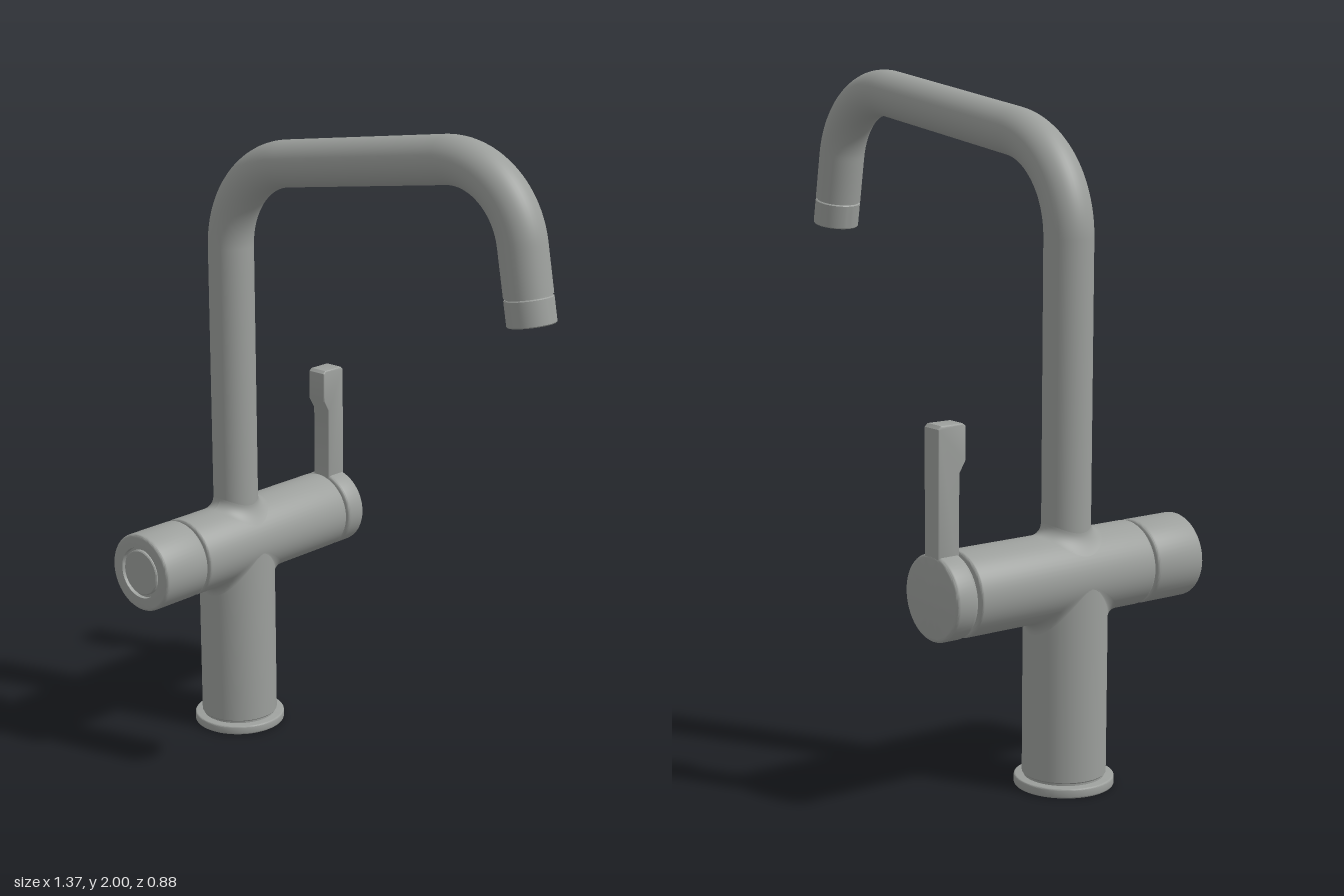
import * as THREE from 'three';
import { toCreasedNormals } from 'three/addons/utils/BufferGeometryUtils.js';

const X = -0.54, Z = 0.027;          // column axis
const BODY_Y = 0.614, BODY_R = 0.122; // cross body axis height and radius
const PIPE_R = 0.07, TILT = THREE.MathUtils.degToRad(10);

export function createModel() {
  const steel = new THREE.MeshStandardMaterial({ color: 0x9c9f9c });
  steel.name = 'brushed steel';
  const faucet = new THREE.Group();
  faucet.name = 'faucet';

  const add = (name, geometry, parent = faucet) => {
    const mesh = new THREE.Mesh(geometry, steel);
    mesh.name = name;
    parent.add(mesh);
    return mesh;
  };
  // Lathe with crisp edges; profile runs from low to high [radius, height]
  const turned = (name, profile, parent) => add(name, toCreasedNormals(
    new THREE.LatheGeometry(profile.map(([r, h]) => new THREE.Vector2(r, h)), 56), 0.55), parent);
  // Solid cylinder profile with rounded rims
  const rounded = (r, low, high, b) => {
    const points = [[0, low]];
    for (const top of [0, 1]) for (let i = 0; i <= 4; i++) {
      const a = (i / 4) * Math.PI / 2;
      points.push(top
        ? [r - b + b * Math.cos(a), high - b + b * Math.sin(a)]
        : [r - b + b * Math.sin(a), low + b - b * Math.cos(a)]);
    }
    points.push([0, high]);
    return points;
  };

  // Base flange and column
  const column = new THREE.Group();
  column.name = 'column';
  column.position.set(X, 0, Z);
  faucet.add(column);
  turned('baseFlange', rounded(0.143, 0, 0.028, 0.005), column);
  turned('baseCollar', [[0.115, 0.02], [0.115, 0.05]], column);
  turned('columnTube', [[0, 0.034], [0.116, 0.034], [0.12, 0.038], [0.12, BODY_Y]], column);

  // Soft blend between an upright tube and the cross body
  const blend = (name, radius, flare, side, alongOnly) => {
    const points = [];
    for (let i = 0; i <= 8; i++) points.push(new THREE.Vector2(1, side * (8 - i) / 8));
    if (side < 0) points.reverse().forEach((p, i) => { p.y = -(8 - i) / 8; });
    const geometry = new THREE.LatheGeometry(points, 56);
    const pos = geometry.attributes.position;
    for (let i = 0; i < pos.count; i++) {
      const a = Math.atan2(pos.getZ(i), pos.getX(i));
      // lathe rows: t = 0 on the body surface, 1 on the tube
      const t = side > 0 ? (i % 9) / 8 : 1 - (i % 9) / 8;
      const w = flare * (alongOnly ? Math.sin(a) ** 2 : 1);
      const turn = t * Math.PI / 2;
      const r = radius + 0.0006 + w * (1 - Math.sin(turn));
      const x = r * Math.cos(a);
      const surface = Math.sqrt(Math.max(0, BODY_R ** 2 - x * x));
      pos.setXYZ(i, x, BODY_Y + side * (surface + w * (1 - Math.cos(turn))), r * Math.sin(a));
    }
    geometry.computeVertexNormals();
    add(name, geometry, column);
  };
  blend('spoutBlend', PIPE_R, 0.03, 1, false);
  blend('columnBlend', 0.12, 0.035, -1, true);

  // Cross body with front knob and rear cap, turned along z
  const cross = new THREE.Group();
  cross.name = 'crossBody';
  cross.position.set(X, BODY_Y, 0);
  cross.rotation.x = Math.PI / 2;
  faucet.add(cross);
  turned('bodyBarrel', rounded(BODY_R, -0.358, 0.26, 0.008), cross);
  turned('rearCollar', [[0.088, -0.375], [0.088, -0.35]], cross);
  turned('frontCollar', [[0.088, 0.255], [0.088, 0.275]], cross);
  turned('rearCap', rounded(BODY_R, -0.44, -0.368, 0.011), cross);
  const knob = rounded(BODY_R, 0.268, 0.44, 0.01);
  knob.pop();
  turned('frontKnob', [...knob, [0.08, 0.44], [0.079, 0.428], [0.071, 0.428], [0.071, 0.436],
    [0.068, 0.439], [0, 0.439]], cross);

  // Lever: side profile in z and y, extruded across x
  const profile = new THREE.Shape();
  [[-0.435, 0.66], [-0.372, 0.66], [-0.372, 0.955], [-0.351, 0.99], [-0.351, 1.08],
    [-0.358, 1.086], [-0.428, 1.086], [-0.435, 1.079]]
    .forEach(([z, y], i) => (i ? profile.lineTo(-z, y) : profile.moveTo(-z, y)));
  const lever = new THREE.ExtrudeGeometry(profile, {
    depth: 0.056, bevelEnabled: true, bevelSize: 0.004, bevelThickness: 0.005, bevelSegments: 3,
  });
  lever.translate(0, 0, -0.028).rotateY(Math.PI / 2);
  add('lever', toCreasedNormals(lever, 0.6)).position.x = X;

  // Spout: riser, bend, rising arm, bend, drop
  const R1 = 0.283, R2 = 0.243, SLOPE = THREE.MathUtils.degToRad(8);
  const armEnd = new THREE.Vector2(0.307, 1.926);
  const path = new THREE.Path();
  path.moveTo(X, BODY_Y + 0.08);
  path.lineTo(X, 1.561);
  path.absarc(X + R1, 1.561, R1, Math.PI, Math.PI / 2 + SLOPE, true);
  path.lineTo(armEnd.x, armEnd.y);
  path.absarc(armEnd.x + R2 * Math.sin(SLOPE), armEnd.y - R2 * Math.cos(SLOPE), R2,
    Math.PI / 2 + SLOPE, TILT, true);
  const tip = new THREE.Vector2(0.618, 1.511);
  path.lineTo(tip.x - 0.081 * Math.sin(TILT), tip.y + 0.081 * Math.cos(TILT));
  const spine = new THREE.CatmullRomCurve3(
    path.getSpacedPoints(120).map((p) => new THREE.Vector3(p.x, p.y, Z)));
  add('spoutPipe', new THREE.TubeGeometry(spine, 160, PIPE_R, 40));

  // Nozzle with recessed aerator
  const nozzle = new THREE.Group();
  nozzle.name = 'nozzle';
  nozzle.position.set(tip.x, tip.y, Z);
  nozzle.rotation.z = TILT;
  faucet.add(nozzle);
  turned('nozzleCollar', [[0.065, 0.07], [0.065, 0.082], [0, 0.082]], nozzle);
  turned('nozzleSleeve', [[0, 0.022], [0.054, 0.022], [0.056, 0.002], [0.058, 0], [0.067, 0],
    [PIPE_R, 0.003], [PIPE_R, 0.073], [0.067, 0.076], [0, 0.076]], nozzle);
  turned('aeratorHub', rounded(0.014, 0.006, 0.03, 0.003), nozzle);
  for (let i = 0; i < 3; i++) {
    const spoke = add('aeratorSpoke', new THREE.BoxGeometry(0.108, 0.012, 0.007), nozzle);
    spoke.position.y = 0.018;
    spoke.rotation.y = (i * Math.PI) / 3;
  }
  return faucet;
}
